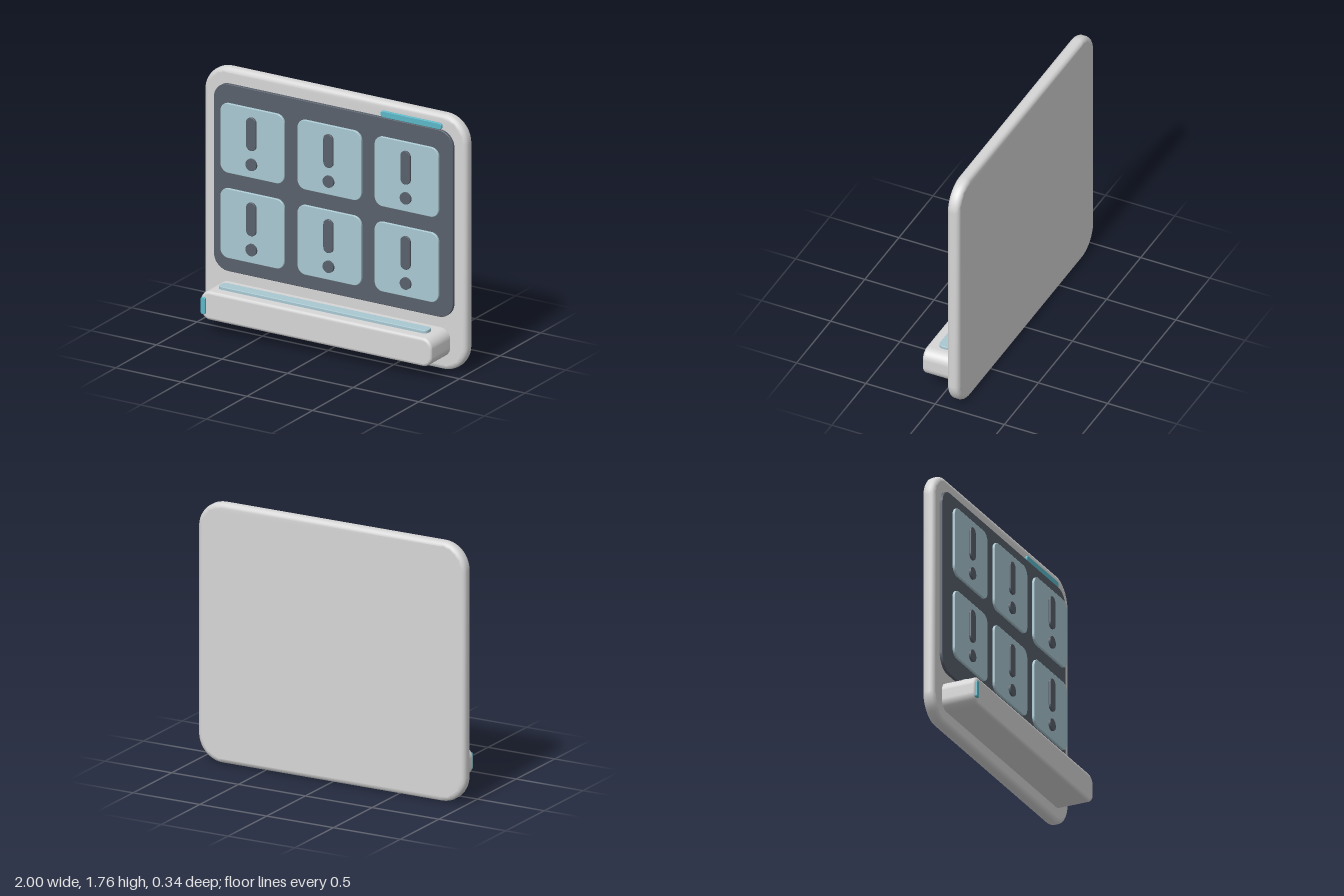
import * as THREE from 'three';
import { mergeVertices } from 'three/addons/utils/BufferGeometryUtils.js';

const mat = (name, color) => new THREE.MeshStandardMaterial({ name, color });

// Rounded rectangle centred on the origin
function roundedRect(w, h, r) {
  const x = w / 2, y = h / 2, s = new THREE.Shape();
  s.absarc(x - r, y - r, r, 0, Math.PI / 2);
  s.absarc(-x + r, y - r, r, Math.PI / 2, Math.PI);
  s.absarc(-x + r, -y + r, r, Math.PI, Math.PI * 1.5);
  s.absarc(x - r, -y + r, r, Math.PI * 1.5, Math.PI * 2);
  s.closePath();
  return s;
}

// Rounded slab of full size w x h x d, centred; bevel eats into the size
function slab(w, h, d, r, bevel, segments = 6, smooth = false) {
  let geo = new THREE.ExtrudeGeometry(roundedRect(w - 2 * bevel, h - 2 * bevel, r - bevel), {
    depth: d - 2 * bevel, curveSegments: segments, bevelEnabled: bevel > 0,
    bevelThickness: bevel, bevelSize: bevel, bevelSegments: 3,
  });
  geo.translate(0, 0, bevel - d / 2);
  if (smooth) {
    geo.deleteAttribute('normal');
    geo.deleteAttribute('uv');
    geo = mergeVertices(geo, 1e-4);
    geo.computeVertexNormals();
  }
  return geo;
}

export function createModel() {
  const model = new THREE.Group();
  model.name = 'wallPanel';
  const shell = mat('light grey shell', 0xd6d6d6);
  const slate = mat('dark slate', 0x59606b);
  const glass = mat('pale blue', 0xa9c8d2);
  const teal = mat('teal accent', 0x5cb8c8);

  const add = (name, geo, material, x, y, z, parent = model) => {
    const mesh = new THREE.Mesh(geo, material);
    mesh.name = name;
    mesh.position.set(x, y, z);
    parent.add(mesh);
    return mesh;
  };

  // Back plate and dark display
  add('backPlate', slab(2, 1.765, 0.086, 0.18, 0.03, 5, true), shell, 0, 0.8825, -0.125);
  add('display', slab(1.824, 1.293, 0.026, 0.11, 0.004), slate, 0, 1.0165, -0.075);
  add('statusLight', slab(0.465, 0.043, 0.02, 0.018, 0.004), teal, 0.5875, 1.6845, -0.078);

  // Two rows of three tiles, each with a bar and a dot, floating ahead of the display
  const tileGeo = slab(0.487, 0.481, 0.018, 0.06, 0.004);
  const barGeo = slab(0.073, 0.23, 0.015, 0.035, 0.003);
  const dotGeo = new THREE.CylinderGeometry(0.041, 0.041, 0.015, 24).rotateX(Math.PI / 2);
  for (const y of [1.311, 0.722]) {
    for (const x of [-0.588, 0, 0.588]) {
      const tile = new THREE.Group();
      tile.name = 'tile';
      tile.position.set(x, y, 0);
      add('tileFace', tileGeo, glass, 0, 0, -0.021, tile);
      add('tileBar', barGeo, slate, 0, 0.067, -0.003, tile);
      add('tileDot', dotGeo, slate, 0, -0.145, -0.003, tile);
      model.add(tile);
    }
  }

  // Shelf with its inlay strip and end button
  add('shelf', slab(1.76, 0.198, 0.25, 0.07, 0.018, 5, true), shell, 0, 0.195, 0.029);
  const strip = add('shelfStrip', slab(1.59, 0.082, 0.03, 0.03, 0.004), glass, 0, 0.3, 0.04);
  strip.rotation.x = -Math.PI / 2;
  add('shelfButton', slab(0.034, 0.116, 0.024, 0.012, 0.004), teal, -0.853, 0.193, 0.156);

  return model;
}
